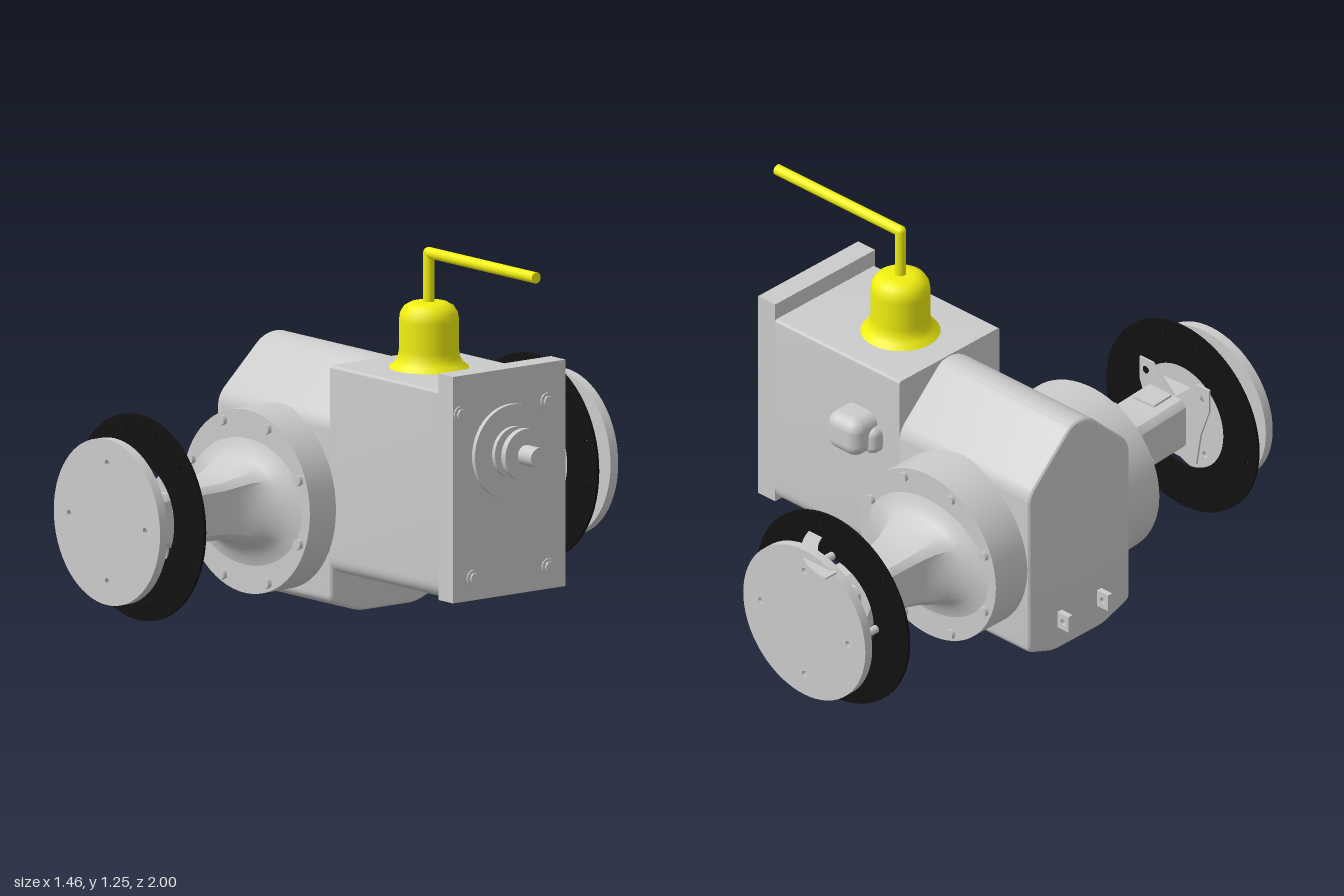
import * as THREE from 'three';
import { toCreasedNormals } from 'three/addons/utils/BufferGeometryUtils.js';
import { RoundedBoxGeometry } from 'three/addons/geometries/RoundedBoxGeometry.js';

const grey = new THREE.MeshStandardMaterial({ color: 0xcccccc });
const yellow = new THREE.MeshStandardMaterial({ color: 0xf0ee10 });
const black = new THREE.MeshStandardMaterial({ color: 0x111111 });

const AX = -0.36, AY = 0.367, ZC = 0.035; // axle centre and drive line

function add(parent, name, geo, mat = grey, x = 0, y = 0, z = 0) {
  const m = new THREE.Mesh(geo, mat);
  m.name = name;
  m.position.set(x, y, z);
  parent.add(m);
  return m;
}

// cylinders lying along x or z, starting at the local origin
const cylZ = (r, len, n = 40) => new THREE.CylinderGeometry(r, r, len, n).rotateX(Math.PI / 2).translate(0, 0, len / 2);
const cylX = (r, len, n = 40) => new THREE.CylinderGeometry(r, r, len, n).rotateZ(Math.PI / 2).translate(len / 2, 0, 0);

// outline of [z, y] corners, each with an optional rounding radius
function roundedShape(pts) {
  const s = new THREE.Shape();
  const v = pts.map(([z, y]) => new THREE.Vector2(-z, y));
  pts.forEach(([, , r = 0], i) => {
    const p = v[i], a = v[(i + v.length - 1) % v.length], b = v[(i + 1) % v.length];
    const p0 = p.clone().add(a.clone().sub(p).setLength(r || 1e-6));
    const p1 = p.clone().add(b.clone().sub(p).setLength(r || 1e-6));
    if (i === 0) s.moveTo(p0.x, p0.y); else s.lineTo(p0.x, p0.y);
    if (r) s.quadraticCurveTo(p.x, p.y, p1.x, p1.y);
  });
  s.closePath();
  return s;
}

// extrude a [z, y] outline along x
function extrudeX(pts, x0, x1, bevel = 0) {
  const g = new THREE.ExtrudeGeometry(roundedShape(pts), {
    depth: x1 - x0 - 2 * bevel, bevelEnabled: bevel > 0, bevelSize: bevel,
    bevelThickness: bevel, bevelOffset: -bevel, bevelSegments: 3, curveSegments: 8,
  });
  return toCreasedNormals(g.rotateY(Math.PI / 2).translate(x0 + bevel, 0, 0), 0.5);
}

// flat disc with circular holes given as [x, y, r]
function plateZ(shape, holes, depth) {
  for (const [x, y, r] of holes) {
    const h = new THREE.Path();
    h.absarc(x, y, r, 0, Math.PI * 2, true);
    shape.holes.push(h);
  }
  const g = new THREE.ExtrudeGeometry(shape, { depth, bevelEnabled: false, curveSegments: 32 });
  return toCreasedNormals(g, 0.5);
}
function disc(r) {
  const s = new THREE.Shape();
  s.absarc(0, 0, r, 0, Math.PI * 2, false);
  return s;
}
const around = (n, r, start = 0) => Array.from({ length: n }, (_, i) => {
  const a = start + (i * Math.PI * 2) / n;
  return [Math.cos(a) * r, Math.sin(a) * r];
});

// trumpet that blends from a wide round foot to a square tube
function trumpetGeometry(len) {
  const profile = [[0.275, 0], [0.235, 0.01], [0.19, 0.03], [0.155, 0.055], [0.125, 0.09], [0.105, 0.13],
    [0.095, 0.18], [0.093, 0.24], [0.093, len]].map(([r, y]) => new THREE.Vector2(r, y));
  profile.push(new THREE.Vector2(0.093, len), new THREE.Vector2(0, len));
  const g = new THREE.LatheGeometry(profile, 48).rotateX(Math.PI / 2);
  const p = g.attributes.position;
  for (let i = 0; i < p.count; i++) {
    const x = p.getX(i), y = p.getY(i), a = Math.atan2(y, x);
    const t = THREE.MathUtils.smoothstep(p.getZ(i), 0, 0.12);
    const square = Math.min(1 / Math.max(Math.abs(Math.cos(a)), Math.abs(Math.sin(a))), 1.27);
    const k = 1 + (square - 1) * t;
    p.setXY(i, x * k, y * k * (0.78 + 0.22 * t));
  }
  return toCreasedNormals(g, 0.5);
}

// axle arm pointing along +z
function axleArm(name, len) {
  const g = new THREE.Group();
  g.name = name;
  add(g, 'axleFlange', cylZ(0.31, 0.2, 64), grey, 0, 0, -0.05);
  add(g, 'axleTrumpet', trumpetGeometry(len - 0.15), grey, 0, 0, 0.15);
  for (const [x, y] of around(8, 0.282, Math.PI / 8)) add(g, 'flangeBolt', cylZ(0.018, 0.018, 6), grey, x, y, 0.148);
  add(g, 'tubePad', new THREE.BoxGeometry(0.09, 0.012, 0.09), grey, 0.01, 0.095, len - 0.13);
  return g;
}

// brake disc, caliper bracket, stub shaft and wheel hub, facing +z
function wheelEnd(name, bracketZ, brakeZ, hubZ, stubX, pins) {
  const g = new THREE.Group();
  g.name = name;
  const drill = around(12, 0.3, 0.2).map(([x, y]) => [x, y, 0.007]);
  add(g, 'brakeDisc', plateZ(disc(0.347), [[0, 0, 0.19], ...drill], 0.01), black, 0, 0, brakeZ - 0.005);
  const b = new THREE.Shape([[-0.16, 0.17], [-0.16, 0.09], [-0.12, -0.02], [-0.1, -0.14], [0.1, -0.14], [0.12, -0.02],
    [0.16, 0.09], [0.16, 0.17], [0.1, 0.17], [0, 0.08], [-0.1, 0.17]].reverse().map(([x, y]) => new THREE.Vector2(x, y)));
  add(g, 'caliperBracket', plateZ(b, [[-0.13, 0.13, 0.014], [0.13, 0.13, 0.014]], 0.008), grey, 0, 0.01, bracketZ);
  const bolts = around(4, 0.2);
  add(g, 'wheelHub', plateZ(disc(0.28), bolts.map(([x, y]) => [x, y, 0.011]), 0.033), grey, 0, 0, hubZ);
  add(g, 'stubShaft', cylZ(0.04, hubZ - brakeZ + 0.03), grey, stubX, 0, brakeZ - 0.02);
  if (pins) for (const [x, y] of bolts) add(g, 'hubPin', cylZ(0.014, hubZ - brakeZ, 16), grey, x, y, brakeZ);
  return g;
}

export function createModel() {
  const model = new THREE.Group();

  // differential housing with a ridged top and tapered belly
  add(model, 'differentialHousing', extrudeX([
    [-0.21, 0.05, 0.02], [-0.09, 0.005, 0.03], [0.15, 0.005, 0.03], [0.275, 0.05, 0.02],
    [0.275, 0.66, 0.04], [0.075, 0.85, 0.05], [-0.005, 0.85, 0.03], [-0.21, 0.66, 0.04],
  ].reverse(), -0.68, -0.075, 0.015));

  // gearbox and mounting plate
  add(model, 'gearbox', extrudeX([[-0.205, 0.145, 0.06], [0.275, 0.145, 0.06], [0.275, 0.85, 0.01],
    [-0.205, 0.85, 0.01]].reverse(), -0.08, 0.5));
  add(model, 'mountingPlate', new THREE.BoxGeometry(0.078, 0.765, 0.48), grey, 0.53, 0.527, ZC);
  for (const [z, y] of [[0.245, 0.78], [-0.125, 0.78], [0.19, 0.22], [-0.13, 0.22]]) {
    add(model, 'plateWasher', cylX(0.028, 0.006, 24), grey, 0.568, y, z);
    add(model, 'plateNut', cylX(0.019, 0.014, 6), grey, 0.568, y, z);
  }

  // side cover at the back of the gearbox
  add(model, 'sideCover', new RoundedBoxGeometry(0.15, 0.14, 0.2, 4, 0.045), grey, 0.095, 0.61, -0.21);
  add(model, 'sideCoverFoot', new RoundedBoxGeometry(0.19, 0.1, 0.12, 4, 0.03), grey, 0.092, 0.59, -0.19);

  // input shaft stack: [radius, start, end]
  for (const [name, r, x0, x1] of [['bearingCover', 0.16, 0.56, 0.585], ['bearingSeal', 0.087, 0.57, 0.6],
    ['shaftCollar', 0.048, 0.59, 0.64], ['shaftDisc', 0.087, 0.633, 0.655], ['inputShaft', 0.034, 0.59, 0.725]]) {
    add(model, name, cylX(r, x1 - x0, 48), grey, x0, 0.63, ZC);
  }

  // gear lever and its boot
  const boot = [[0.135, 0.845], [0.132, 0.853], [0.115, 0.866], [0.104, 0.885], [0.1, 0.91], [0.1, 1.01], [0.096, 1.035],
    [0.083, 1.056], [0.062, 1.068], [0.04, 1.072], [0, 1.072]].map(([r, y]) => new THREE.Vector2(r, y));
  add(model, 'leverBoot', new THREE.LatheGeometry(boot, 48), yellow, 0.145, 0, ZC);
  add(model, 'leverPost', new THREE.CylinderGeometry(0.019, 0.019, 0.19, 24), yellow, 0.145, 1.145, ZC);
  add(model, 'leverElbow', new THREE.SphereGeometry(0.019, 24, 16), yellow, 0.145, 1.236, ZC);
  add(model, 'leverHandle', cylX(0.019, 0.565, 24), yellow, 0.145, 1.236, ZC);

  // rear lugs on the housing
  const lug = new THREE.Shape([[0.03, -0.03], [0.03, 0.03], [-0.05, 0.03], [-0.05, -0.03]].map(([x, y]) => new THREE.Vector2(x, y)));
  const lugGeo = plateZ(lug, [[-0.025, 0, 0.011]], 0.02);
  for (const z of [-0.075, 0.115]) add(model, 'housingLug', lugGeo, grey, -0.68, 0.123, z);

  // front axle arm is slightly angled, rear one is straight
  const frontArm = axleArm('frontAxleArm', 0.63);
  frontArm.position.set(AX, AY, 0.265);
  frontArm.rotation.y = 0.07;
  const rearArm = axleArm('rearAxleArm', 0.65);
  rearArm.position.set(AX, AY, -0.21);
  rearArm.rotation.y = Math.PI;
  model.add(frontArm, rearArm);

  const frontWheel = wheelEnd('frontWheelEnd', 0.82, 0.862, 0.967, 0.045, false);
  frontWheel.position.set(AX, AY, 0);
  const rearWheel = wheelEnd('rearWheelEnd', 0.772, 0.815, 0.922, 0, true);
  rearWheel.position.set(AX, AY, 0);
  rearWheel.rotation.y = Math.PI;
  model.add(frontWheel, rearWheel);

  // curved guard strip above the rear hub
  const arc = new THREE.Shape();
  arc.absarc(0, 0, 0.26, 0, Math.PI / 2, false);
  arc.absarc(0, 0, 0.205, Math.PI / 2, 0, true);
  add(model, 'rearGuardStrip', plateZ(arc, [], 0.006).rotateX(-Math.PI / 2), grey, -0.5, 0.612, -0.74);

  return model;
}
